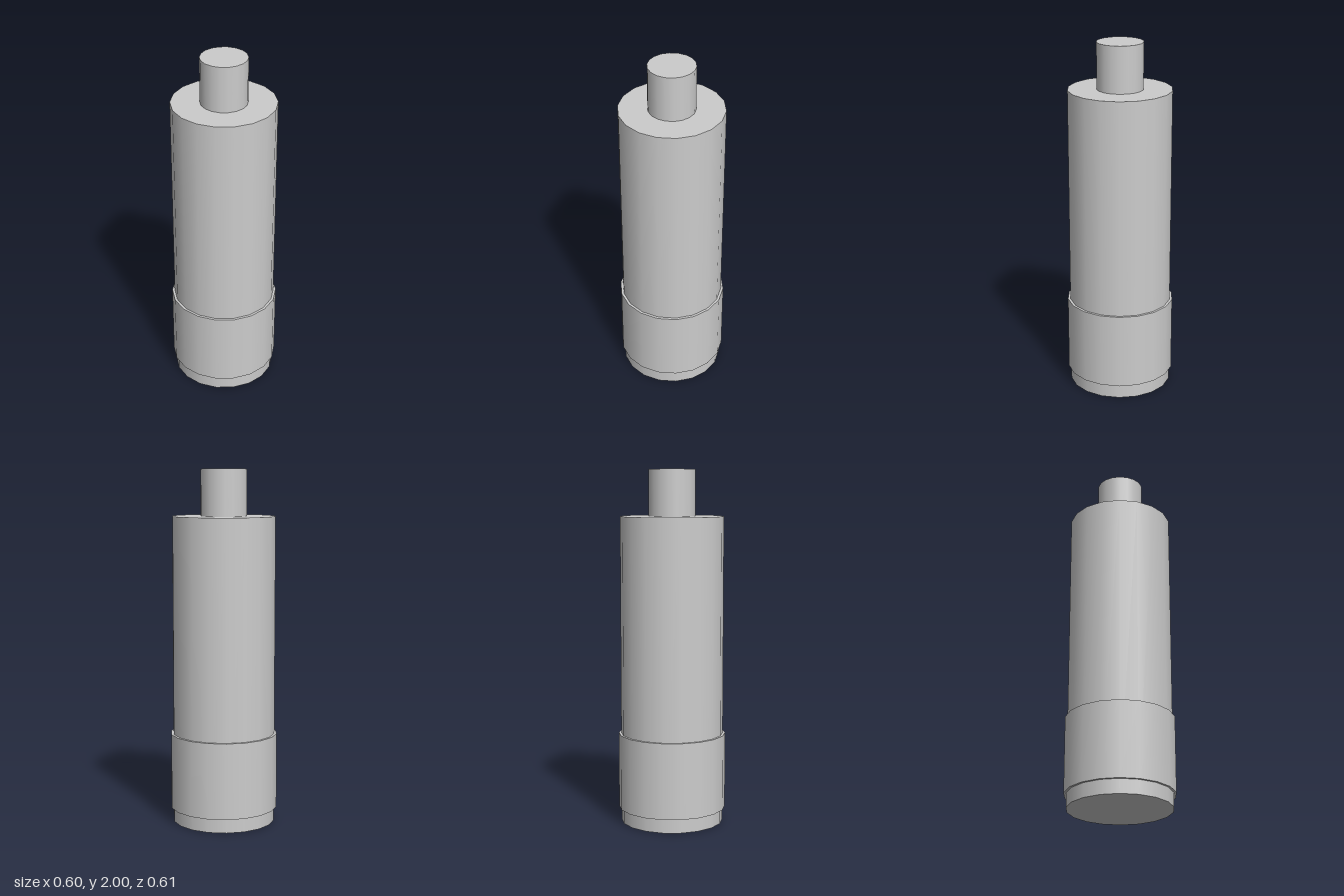
import * as THREE from 'three';

const SIDES = 18;

export function createModel() {
  const model = new THREE.Group();
  model.name = 'steppedCylinder';

  const grey = new THREE.MeshStandardMaterial({ color: 0xcccccc });
  grey.name = 'light grey';

  // Upright round section between two heights
  const addSection = (name, radius, bottom, top) => {
    const geometry = new THREE.CylinderGeometry(radius, radius, top - bottom, SIDES);
    const mesh = new THREE.Mesh(geometry, grey);
    mesh.name = name;
    mesh.position.y = (bottom + top) / 2;
    model.add(mesh);
  };

  addSection('body', 0.29, 0, 1.74);
  addSection('collar', 0.304, 0.08, 0.51);
  addSection('topPin', 0.13, 1.74, 2);

  return model;
}
